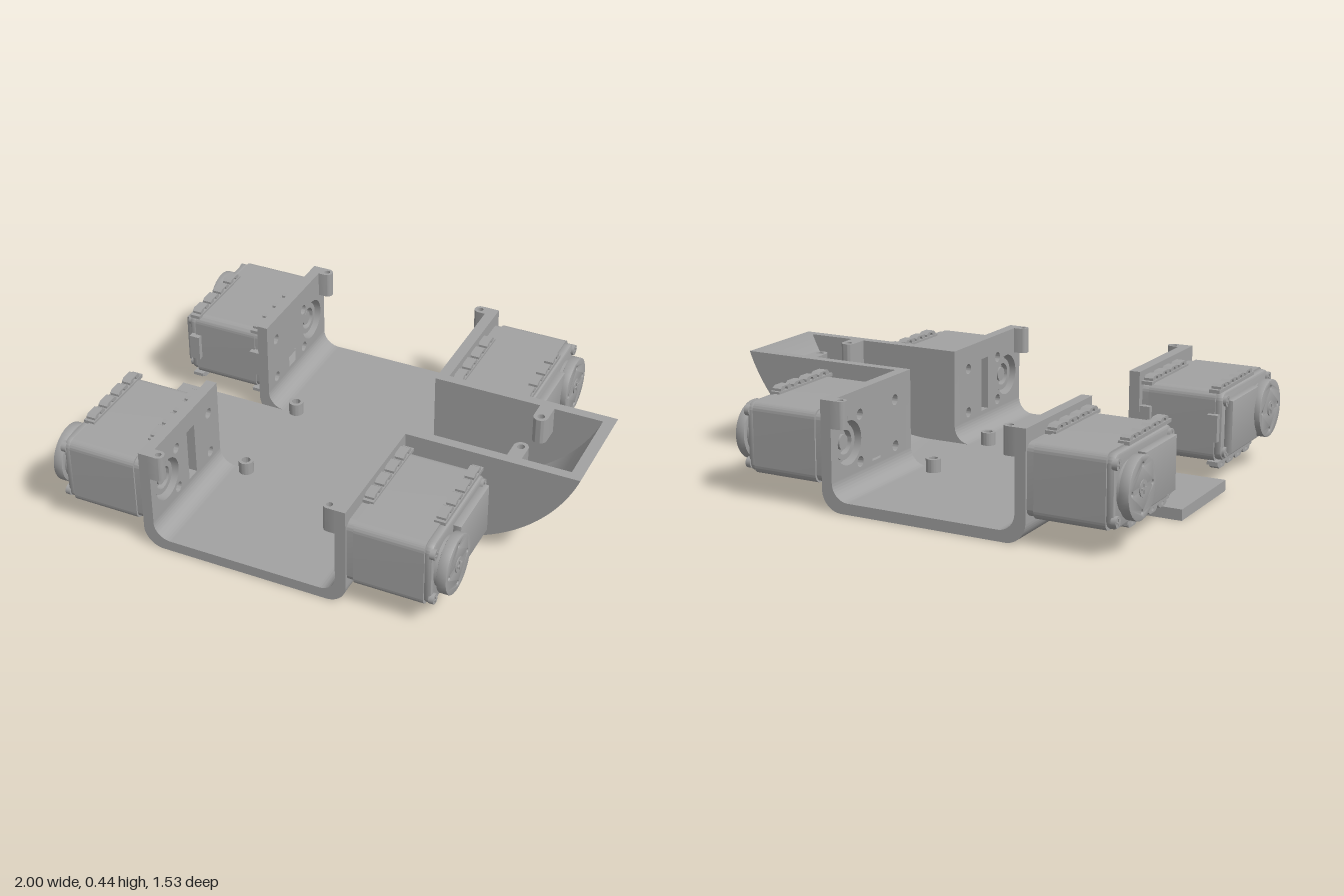
import * as THREE from 'three';
import { toCreasedNormals } from 'three/addons/utils/BufferGeometryUtils.js';

const grey = new THREE.MeshStandardMaterial({ color: 0xa2a2a2 });
grey.name = 'plain grey';

// ---- helpers ----
function add(parent, name, geo) {
  const mesh = new THREE.Mesh(geo, grey);
  mesh.name = name;
  parent.add(mesh);
  return mesh;
}
function box(parent, name, x0, x1, y0, y1, z0, z1) {
  const g = new THREE.BoxGeometry(x1 - x0, y1 - y0, z1 - z0);
  g.translate((x0 + x1) / 2, (y0 + y1) / 2, (z0 + z1) / 2);
  return add(parent, name, g);
}
function extrude(shape, depth, bevel = 0) {
  return new THREE.ExtrudeGeometry(shape, {
    depth: depth - 2 * bevel, curveSegments: 20, bevelEnabled: bevel > 0,
    bevelThickness: bevel, bevelSize: bevel, bevelOffset: -bevel, bevelSegments: 2,
  }).translate(0, 0, bevel);
}
// shape drawn in (z, y), spanning x0..x1
const extrudeX = (shape, x0, x1, bevel) =>
  toCreasedNormals(extrude(shape, x1 - x0, bevel).rotateY(-Math.PI / 2).translate(x1, 0, 0), 0.6);
// shape drawn in (x, z), spanning y0..y1
const extrudeY = (shape, y0, y1) =>
  toCreasedNormals(extrude(shape, y1 - y0).rotateX(Math.PI / 2).translate(0, y1, 0), 0.6);
// shape drawn in (x, y), spanning z0..z1
const extrudeZ = (shape, z0, z1) => toCreasedNormals(extrude(shape, z1 - z0).translate(0, 0, z0), 0.6);

function circle(x, y, r, Type = THREE.Path) {
  const p = new Type();
  p.absarc(x, y, r, 0, Math.PI * 2, false);
  return p;
}
function poly(points, Type = THREE.Shape) {
  return new Type(points.map(([x, y]) => new THREE.Vector2(x, y)));
}
const rect = (x0, x1, y0, y1, Type) => poly([[x0, y0], [x1, y0], [x1, y1], [x0, y1]], Type);
function roundRect(x0, x1, y0, y1, r) {
  const s = new THREE.Shape();
  s.absarc(x1 - r, y1 - r, r, 0, Math.PI / 2);
  s.absarc(x0 + r, y1 - r, r, Math.PI / 2, Math.PI);
  s.absarc(x0 + r, y0 + r, r, Math.PI, Math.PI * 1.5);
  s.absarc(x1 - r, y0 + r, r, Math.PI * 1.5, Math.PI * 2);
  s.closePath();
  return s;
}
function disc(parent, name, r, x0, x1, y, z, seg = 32) {
  const g = new THREE.CylinderGeometry(r, r, x1 - x0, seg).rotateZ(-Math.PI / 2);
  return add(parent, name, g.translate((x0 + x1) / 2, y, z));
}

// ---- frame ----
const T = 0.045, TOP = 0.44, ZE = 0.765, ZM = 0.22;
const XL = -0.59, XR = 0.285, R = 0.085;

// Round screw boss reaching from a wall (at a distance back) to its hole
function boss(parent, x, z, angle, r, back) {
  const s = new THREE.Shape();
  s.absarc(0, 0, r, -Math.PI / 2, Math.PI / 2);
  s.lineTo(-back, r);
  s.lineTo(-back, -r);
  s.closePath();
  s.holes.push(circle(0, 0, r * 0.5));
  const m = add(parent, 'screwBoss', extrudeY(s, 0.33, TOP));
  m.position.set(x, 0, z);
  m.rotation.y = angle;
}

function buildFrame(frame) {
  // Floor with screw holes and standoffs
  const floor = rect(XL + R, XR - R, -ZE, ZE);
  for (const x of [-0.42, 0.105]) for (const z of [-0.23, 0.23]) {
    floor.holes.push(circle(x, z, 0.018));
    const ring = circle(x, z, 0.031, THREE.Shape);
    ring.holes.push(circle(x, z, 0.018));
    add(frame, 'standoff', extrudeY(ring, T, 0.1));
  }
  add(frame, 'floor', extrudeY(floor, 0, T));
  box(frame, 'tailPlate', -0.97, XL + R, 0, T, -ZM, ZM);

  for (const side of [-1, 1]) {
    const outer = side > 0 ? XR : XL;
    const inner = outer - side * T;
    for (const end of [-1, 1]) {
      // Curved corner between floor and wall
      const cx = outer - side * R, ri = 0.07, ix = inner - side * ri;
      const c = new THREE.Shape();
      c.moveTo(cx, 0);
      c.absarc(cx, R, R, -Math.PI / 2, side > 0 ? 0 : -Math.PI, side < 0);
      c.lineTo(outer, T + ri);
      c.lineTo(inner, T + ri);
      c.absarc(ix, T + ri, ri, side > 0 ? 0 : -Math.PI, -Math.PI / 2, side > 0);
      c.closePath();
      add(frame, 'wallCorner', extrudeZ(c, end > 0 ? ZM : -ZE, end > 0 ? ZE : -ZM));

      // Motor wall with shaft opening, slot and screw holes
      const w = rect(end * ZM, end * ZE, T + ri, TOP);
      w.holes.push(circle(end * 0.64, 0.245, 0.088));
      w.holes.push(rect(end * 0.415, end * 0.475, 0.13, 0.36, THREE.Path));
      for (const z of [0.3, 0.56]) for (const y of [0.15, 0.34]) w.holes.push(circle(end * z, y, 0.022));
      add(frame, 'motorWall', extrudeX(w, Math.min(outer, inner), Math.max(outer, inner)));
      boss(frame, side > 0 ? 0.21 : -0.515, end * 0.74, side > 0 ? Math.PI : 0, 0.025, 0.035);
    }
  }
}

function buildProw(prow) {
  const cx = 0.36, r = 0.685, ri = 0.64;
  const a1 = Math.asin((TOP - r) / r), a2 = Math.asin((TOP - r) / ri);
  // Curved underside
  const hull = new THREE.Shape();
  hull.moveTo(XR - R, 0);
  hull.absarc(cx, r, r, -Math.PI / 2, a1, false);
  hull.absarc(cx, r, ri, a2, -Math.PI / 2, true);
  hull.lineTo(XR - R, T);
  hull.closePath();
  add(prow, 'prowHull', extrudeZ(hull, -0.18, 0.18));
  // Side walls and their bosses
  const wall = new THREE.Shape();
  wall.moveTo(XR - R, 0);
  wall.absarc(cx, r, r, -Math.PI / 2, a1, false);
  wall.lineTo(XR - T, TOP);
  wall.lineTo(XR - T, 0.115);
  wall.absarc(XR - T - 0.07, 0.115, 0.07, 0, -Math.PI / 2, true);
  wall.closePath();
  for (const s of [-1, 1]) {
    add(prow, 'prowSide', extrudeZ(wall, s > 0 ? 0.18 : -ZM, s > 0 ? ZM : -0.18));
    boss(prow, 0.72, s * 0.11, s * Math.PI / 2, 0.03, 0.075);
  }
}

// Motor: x points out from the wall, y = 0 is mid-height
function buildMotor() {
  const m = new THREE.Group();
  m.name = 'motor';
  add(m, 'motorBackCover', extrudeX(roundRect(0.25, 0.755, -0.14, 0.14, 0.035), 0, 0.035));
  add(m, 'motorBody', extrudeX(roundRect(0.245, 0.762, -0.145, 0.145, 0.035), 0.03, 0.315));
  add(m, 'motorFrontCover', extrudeX(roundRect(0.25, 0.757, -0.14, 0.14, 0.04), 0.31, 0.345, 0.01));
  add(m, 'coverPanel', extrudeX(rect(0.28, 0.56, -0.108, 0.108), 0.34, 0.378, 0.006));
  for (const z of [0.279, 0.742]) for (const y of [-0.105, 0.105]) {
    disc(m, 'coverScrew', 0.022, 0.335, 0.356, y, z, 20);
    box(m, 'screwCross', 0.355, 0.359, y - 0.014, y + 0.014, z - 0.003, z + 0.003);
    box(m, 'screwCross', 0.355, 0.359, y - 0.003, y + 0.003, z - 0.014, z + 0.014);
  }

  // Toothed mounting rails above and below, plus short ones on the end
  for (const x of [0.0, 0.29]) {
    for (const s of [-1, 1]) {
      box(m, 'mountRail', x, x + 0.045, s * 0.147 - 0.007, s * 0.147 + 0.007, 0.24, 0.615);
      for (let i = 0; i < 4; i++) {
        const z = 0.295 + i * 0.09;
        const tab = poly([[z - 0.037, s * 0.14], [z - 0.037, s * 0.164], [z - 0.024, s * 0.173],
          [z + 0.024, s * 0.173], [z + 0.037, s * 0.164], [z + 0.037, s * 0.14]]);
        tab.holes.push(circle(z, s * 0.155, 0.012));
        add(m, 'mountTab', extrudeX(tab, x + 0.003, x + 0.042));
      }
    }
    box(m, 'endTab', x, x + 0.045, -0.055, 0.055, 0.223, 0.25);
  }

  // Output horn
  disc(m, 'hornHub', 0.1, 0.34, 0.37, 0, 0.64);
  const horn = circle(0.64, 0, 0.12, THREE.Shape);
  for (let i = 0; i < 4; i++) {
    const a = i * Math.PI / 2;
    horn.holes.push(circle(0.64 + 0.088 * Math.cos(a), 0.088 * Math.sin(a), 0.009));
  }
  add(m, 'hornDisc', extrudeX(horn, 0.362, 0.402, 0.003));
  disc(m, 'hornScrew', 0.032, 0.395, 0.406, 0, 0.64, 24);
  box(m, 'screwCross', 0.405, 0.41, -0.02, 0.02, 0.636, 0.644);
  box(m, 'screwCross', 0.405, 0.41, -0.004, 0.004, 0.62, 0.66);

  // Idler behind the wall opening
  const ring = circle(0.64, 0, 0.07, THREE.Shape);
  ring.holes.push(circle(0.64, 0, 0.048));
  add(m, 'idlerRing', extrudeX(ring, -0.025, 0.005));
  disc(m, 'idlerCap', 0.03, -0.02, 0.005, 0, 0.64, 24);
  return m;
}

export function createModel() {
  const model = new THREE.Group();
  model.name = 'roverChassis';
  const frame = new THREE.Group();
  frame.name = 'frame';
  buildFrame(frame);
  const prow = new THREE.Group();
  prow.name = 'prow';
  buildProw(prow);
  model.add(frame, prow);

  // Four motors, turned half-way round each axis
  const motor = buildMotor();
  const places = [[XR, 0, 0, 0], [XR, Math.PI, 0, 0], [XL, 0, Math.PI, 0], [XL, 0, 0, Math.PI]];
  for (const [x, rx, ry, rz] of places) {
    const m = motor.clone();
    m.position.set(x, 0.245, 0);
    m.rotation.set(rx, ry, rz);
    model.add(m);
  }
  return model;
}
